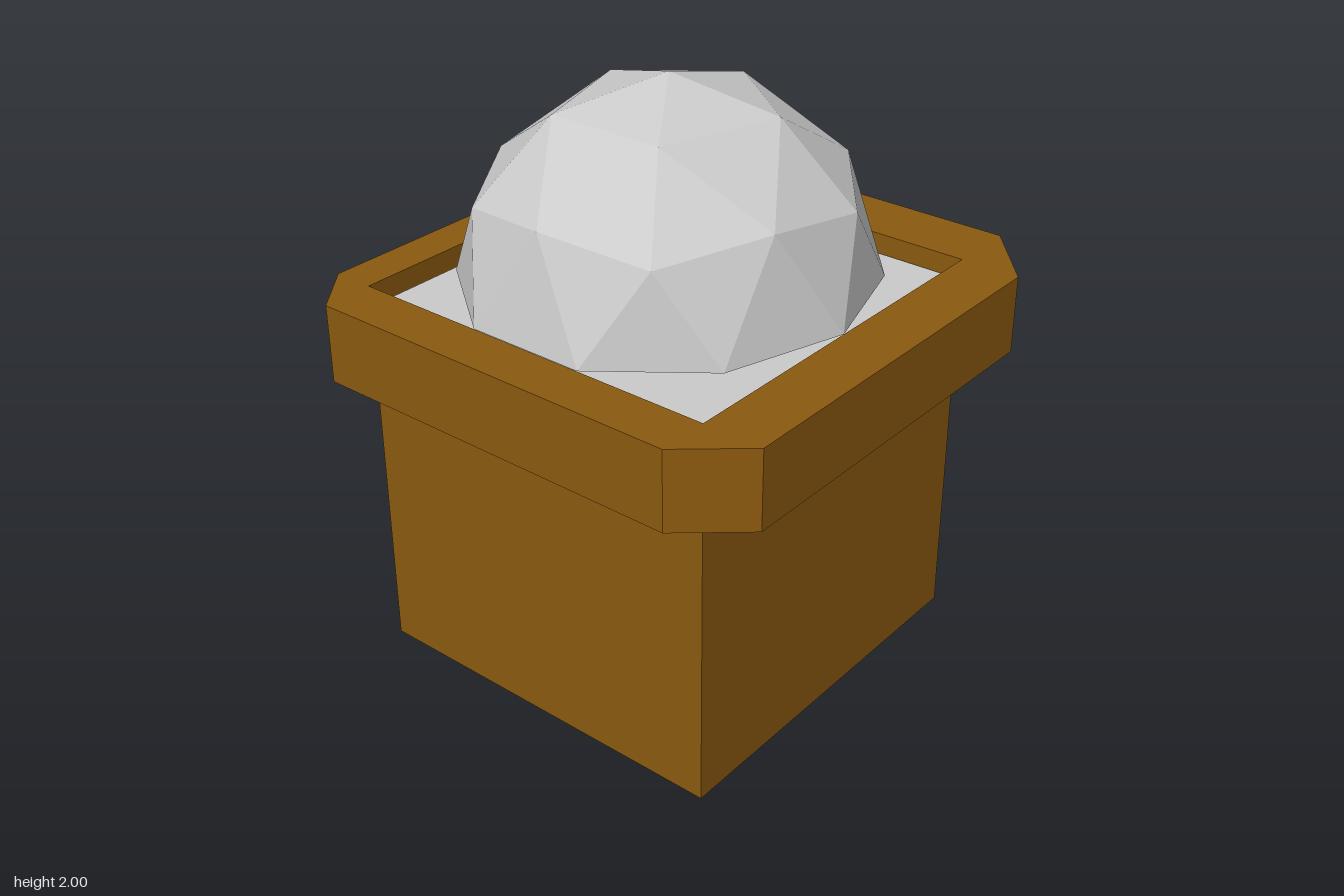
import * as THREE from 'three';

const CX = -0.032, CZ = -0.032; // axis of the pot
const SIDE = 1.334, RIM_TOP = 1.333, RIM_BOTTOM = 1.067;

// Faceted half icosphere, pole up, open at the equator
function domeGeometry(rx, ry, rz) {
  const rad = Math.PI / 180;
  const point = (azimuth, lat) => [
    rx * Math.cos(lat * rad) * Math.cos(azimuth * rad),
    ry * Math.sin(lat * rad),
    rz * Math.cos(lat * rad) * Math.sin(azimuth * rad),
  ];
  const top = [0, ry, 0];
  const upper = (k) => point(72 * k, 58.28);
  const middle = (j) => point(36 * j, j % 2 === 0 ? 26.57 : 31.72);
  const base = (j) => point(36 * j + 18, 0);
  const pos = [];
  const tri = (...corners) => corners.forEach((c) => pos.push(...c));
  for (let k = 0; k < 5; k++) {
    const j = 2 * k;
    tri(top, upper(k + 1), upper(k));
    tri(upper(k), upper(k + 1), middle(j + 1));
    tri(upper(k), middle(j + 1), middle(j));
    tri(upper(k + 1), middle(j + 2), middle(j + 1));
  }
  for (let j = 0; j < 10; j++) {
    tri(middle(j), middle(j + 1), base(j));
    tri(middle(j + 1), base(j + 1), base(j));
  }
  const g = new THREE.BufferGeometry();
  g.setAttribute('position', new THREE.Float32BufferAttribute(pos, 3));
  g.computeVertexNormals();
  return g;
}

// Chamfered square frame with a square opening
function rimGeometry() {
  const h = SIDE / 2, ox = 0.873, oz = 0.84;
  const x0 = CX - h, x1 = CX + h, z0 = CZ - h, z1 = CZ + h;
  const path = (pts) => pts.map(([x, z]) => new THREE.Vector2(x, -z));
  const shape = new THREE.Shape(path([
    [x0, oz], [x1, oz], [ox, z1], [ox, z0], [x1, -oz], [x0, -oz], [-ox, z0], [-ox, z1],
  ]));
  shape.holes.push(new THREE.Path(path([[x0, z0], [x1, z0], [x1, z1], [x0, z1]])));
  const g = new THREE.ExtrudeGeometry(shape, { depth: RIM_TOP - RIM_BOTTOM, bevelEnabled: false });
  return g.rotateX(-Math.PI / 2);
}

export function createModel() {
  const group = new THREE.Group();
  const brown = new THREE.MeshStandardMaterial({ color: 0x8b5a0f, flatShading: true });
  const grey = new THREE.MeshStandardMaterial({ color: 0xcccccc, flatShading: true, side: THREE.DoubleSide });
  const add = (name, geometry, material, x, y, z) => {
    const mesh = new THREE.Mesh(geometry, material);
    mesh.name = name;
    mesh.position.set(x, y, z);
    group.add(mesh);
  };

  // Square pot with its rim
  const potHeight = 1.255;
  add('pot', new THREE.BoxGeometry(SIDE, potHeight, SIDE), brown, CX, potHeight / 2, CZ);
  add('rim', rimGeometry(), brown, 0, RIM_BOTTOM, 0);

  // Filling sunk just below the rim
  const fill = new THREE.PlaneGeometry(1.305, 1.295).rotateX(-Math.PI / 2);
  add('filling', fill, grey, CX, 1.27, CZ - 0.004);

  // Faceted dome level with the rim
  add('dome', domeGeometry(0.7, 0.667, 0.667), grey, CX, RIM_TOP, CZ);
  return group;
}
